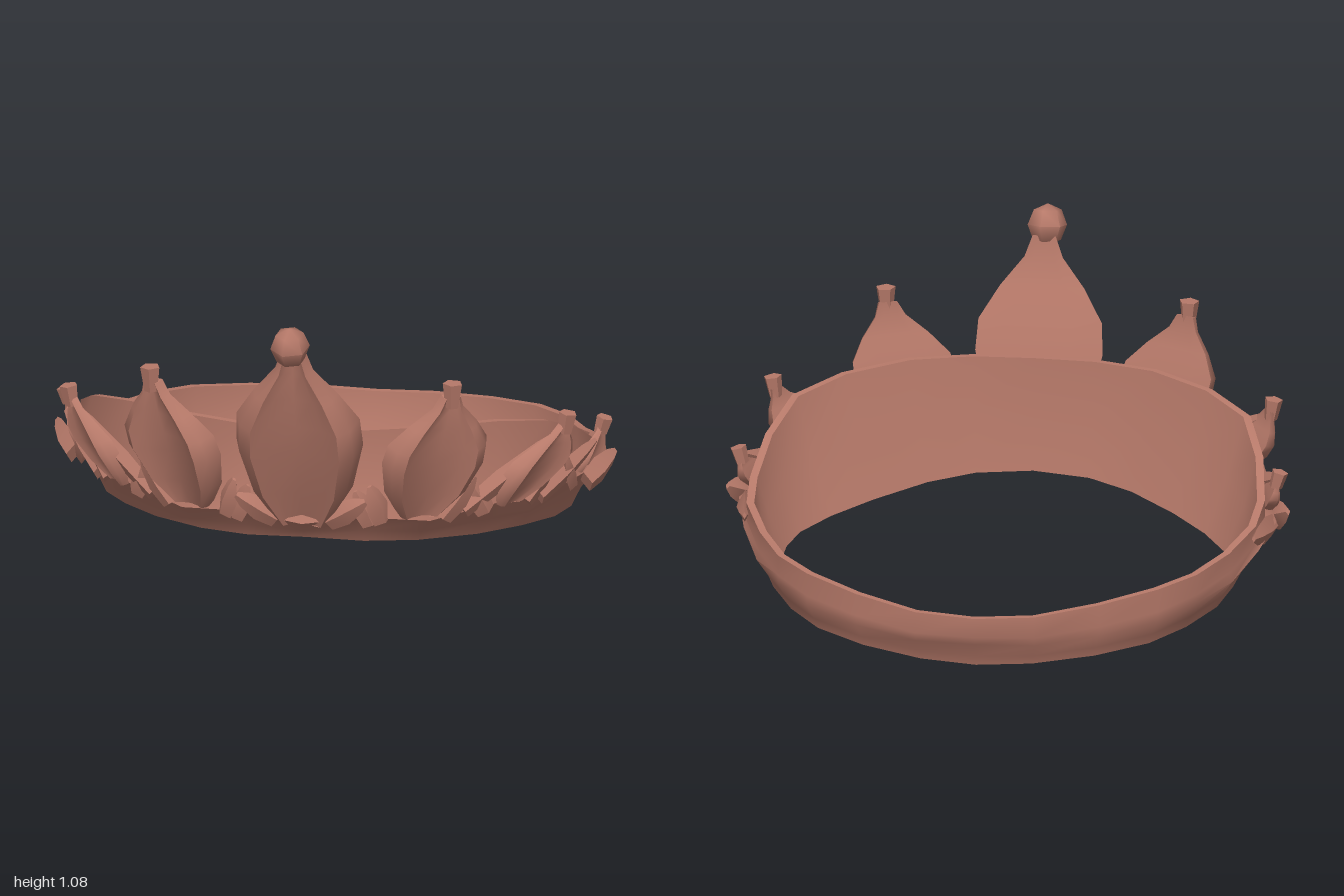
import * as THREE from 'three';
import { toCreasedNormals } from 'three/addons/utils/BufferGeometryUtils.js';

const V = (x, y, z) => new THREE.Vector3(x, y, z);

// Skins a list of closed cross-sections; either joins the ends or caps them.
function loft(rings, joined) {
  const n = rings[0].length, m = rings.length, pts = rings.flat(), idx = [];
  for (let i = 0; i < (joined ? m : m - 1); i++) {
    for (let j = 0; j < n; j++) {
      const k = (j + 1) % n, i2 = (i + 1) % m;
      const a = i * n + j, b = i * n + k, c = i2 * n + k, d = i2 * n + j;
      idx.push(a, b, c, a, c, d);
    }
  }
  if (!joined) {
    for (let j = 1; j < n - 1; j++) {
      const e = (m - 1) * n;
      idx.push(0, j + 1, j, e, e + j, e + j + 1);
    }
  }
  // Turn the faces outward when the enclosed volume comes out negative
  let volume = 0;
  const cross = V(0, 0, 0);
  for (let i = 0; i < idx.length; i += 3) {
    volume += pts[idx[i]].dot(cross.crossVectors(pts[idx[i + 1]], pts[idx[i + 2]]));
  }
  if (volume < 0) idx.reverse();
  const geo = new THREE.BufferGeometry().setFromPoints(pts);
  geo.setIndex(idx);
  return toCreasedNormals(geo, 0.9);
}

// Half of the band, front to back:
// inner foot x z, bulge x z, rim x z, foot y, bulge y, rim y
const BAND = [
  [0, .57, 0, .68, 0, .63, .195, .27, .61],
  [.20, .55, .22, .66, .22, .62, .185, .30, .61],
  [.36, .47, .44, .575, .44, .55, .17, .27, .61],
  [.53, .32, .66, .43, .655, .41, .15, .30, .595],
  [.66, .17, .80, .27, .81, .265, .135, .28, .555],
  [.75, .03, .90, .09, .88, .085, .12, .30, .47],
  [.78, -.10, .95, -.08, .91, -.09, .11, .29, .37],
  [.78, -.24, .91, -.25, .90, -.25, .10, .24, .33],
  [.76, -.40, .84, -.42, .83, -.42, .08, .18, .285],
  [.68, -.56, .74, -.60, .74, -.60, .06, .16, .265],
  [.57, -.69, .62, -.73, .62, -.73, .04, .13, .25],
  [.40, -.80, .43, -.85, .43, -.85, .025, .11, .225],
  [.19, -.87, .21, -.925, .21, -.94, .01, .09, .2],
  [0, -.88, 0, -.94, 0, -.955, 0, .09, .19],
];

function bandGeometry() {
  const mix = (a, b, t) => a + (b - a) * t;
  const wall = 0.97;
  const section = ([xi, zi, xb, zb, xt, zt, yf, yb, yt], s) => [
    V(s * xi, yf + .01, zi),
    V(s * mix(xi, xb, .3), yf, mix(zi, zb, .3)),
    V(s * mix(xi, xb, .5), mix(yf, yb, .4), mix(zi, zb, .5)),
    V(s * xb, yb, zb),
    V(s * xt, mix(yb, yt, .3), zt),
    V(s * xt, yt, zt),
    V(s * xt * wall, yt, (zt + .15) * wall - .15),
    V(s * mix(xi, xt, .5), mix(yf, yt, .5), mix(zi, zt, .5)),
  ];
  const half = BAND.map(r => section(r, 1));
  const other = BAND.slice(1, -1).reverse().map(r => section(r, -1));
  return loft([...half, ...other], true);
}

// Hollowed petal with a raised border, running from base to tip; turn is its heading from +z
const PETAL_WIDTHS = [[0, .42], [.2, .8], [.45, 1], [.6, .97], [.76, .66], [.9, .3], [1, .18]];
const PETAL_SECTION = [
  [-1, -.42], [-.9, -.02], [-.7, .17], [-.45, .02], [0, -.08], [.45, .02], [.7, .17], [.9, -.02],
  [1, -.42], [.5, -.42], [0, -.42], [-.5, -.42],
];
function petalGeometry(base, tip, width, turn, depth) {
  const side = V(Math.cos(turn), 0, -Math.sin(turn));
  const dir = tip.clone().sub(base);
  const out = side.clone().cross(dir).normalize();
  const rings = PETAL_WIDTHS.map(([v, w]) => PETAL_SECTION.map(([u, d]) =>
    base.clone().addScaledVector(dir, v)
      .addScaledVector(side, u * w * width)
      .addScaledVector(out, depth * (d * Math.max(w, .4) + .2 * Math.sin(Math.PI * v)))));
  return loft(rings, false);
}

// Pointed leaf with a diamond section
function leafGeometry(base, tip, r) {
  const dir = tip.clone().sub(base);
  const a = V(dir.z, 0, -dir.x).normalize();
  const b = dir.clone().cross(a).normalize();
  const rings = [[0, .8], [.4, 1], [.8, .65], [1, .25]].map(([v, w]) =>
    [[1, 0], [0, 1], [-1, 0], [0, -1]].map(([p, q]) =>
      base.clone().addScaledVector(dir, v)
        .addScaledVector(a, p * w * r * .6).addScaledVector(b, q * w * r)));
  return loft(rings, false);
}

export function createModel() {
  const group = new THREE.Group();
  const roseMetal = new THREE.MeshStandardMaterial({ color: 0xb67969 });
  roseMetal.name = 'roseMetal';

  const add = (name, geo) => {
    const mesh = new THREE.Mesh(geo, roseMetal);
    mesh.name = name;
    group.add(mesh);
    return mesh;
  };

  add('band', bandGeometry());

  // Tall middle petal and its bead
  add('centrePetal', petalGeometry(V(0, .26, .655), V(0, .97, .88), .225, 0, .2));
  const bead = add('centreBead',
    toCreasedNormals(new THREE.SphereGeometry(.07, 6, 4), 1.1));
  bead.position.set(-.005, 1.005, .895);
  bead.scale.y = 1.08;
  bead.rotation.set(.2, .3, 0);

  for (const s of [1, -1]) {
    const label = s > 0 ? 'left' : 'right';

    // Three shrinking petals on each side: base, tip, width, turn, depth
    const petals = [
      [[.41, .29, .59], [.535, .77, .675], .185, .45, .15],
      [[.70, .29, .40], [.88, .56, .31], .14, .95, .10],
      [[.88, .28, .06], [.95, .43, -.05], .09, 1.35, .07],
    ];
    petals.forEach(([b, t, w, turn, d], i) => {
      const base = V(s * b[0], b[1], b[2]), tip = V(s * t[0], t[1], t[2]);
      add(`${label}Petal${i + 1}`, petalGeometry(base, tip, w, s * turn, d));
      // Flared finial on the petal tip
      const h = .09 - i * .015;
      const finial = add(`${label}Finial${i + 1}`, toCreasedNormals(
        new THREE.CylinderGeometry(.036 - i * .003, .024, h, 5), .75));
      finial.position.copy(tip);
      finial.position.y += h * .1;
      finial.rotation.z = -s * .12 * (i + .3);
    });

    // Small leaves crossing between the petals
    const leaves = [
      [[.09, .28, .66], [.23, .37, .69], .045],
      [[.24, .27, .64], [.19, .40, .67], .04],
      [[.28, .28, .63], [.24, .42, .67], .045],
      [[.48, .28, .56], [.59, .43, .53], .045],
      [[.55, .30, .53], [.86, .54, .33], .04],
      [[.62, .28, .47], [.56, .42, .52], .045],
      [[.74, .28, .34], [.84, .43, .23], .045],
      [[.78, .28, .29], [.94, .41, .04], .045],
      [[.87, .27, .12], [.86, .40, .20], .04],
      [[.91, .26, .06], [.99, .33, -.08], .055],
      [[.93, .27, -.06], [.90, .30, -.30], .05],
    ];
    leaves.forEach(([b, t, r], i) =>
      add(`${label}Leaf${i + 1}`,
        leafGeometry(V(s * b[0], b[1], b[2]), V(s * t[0], t[1], t[2]), r)));
  }
  return group;
}
